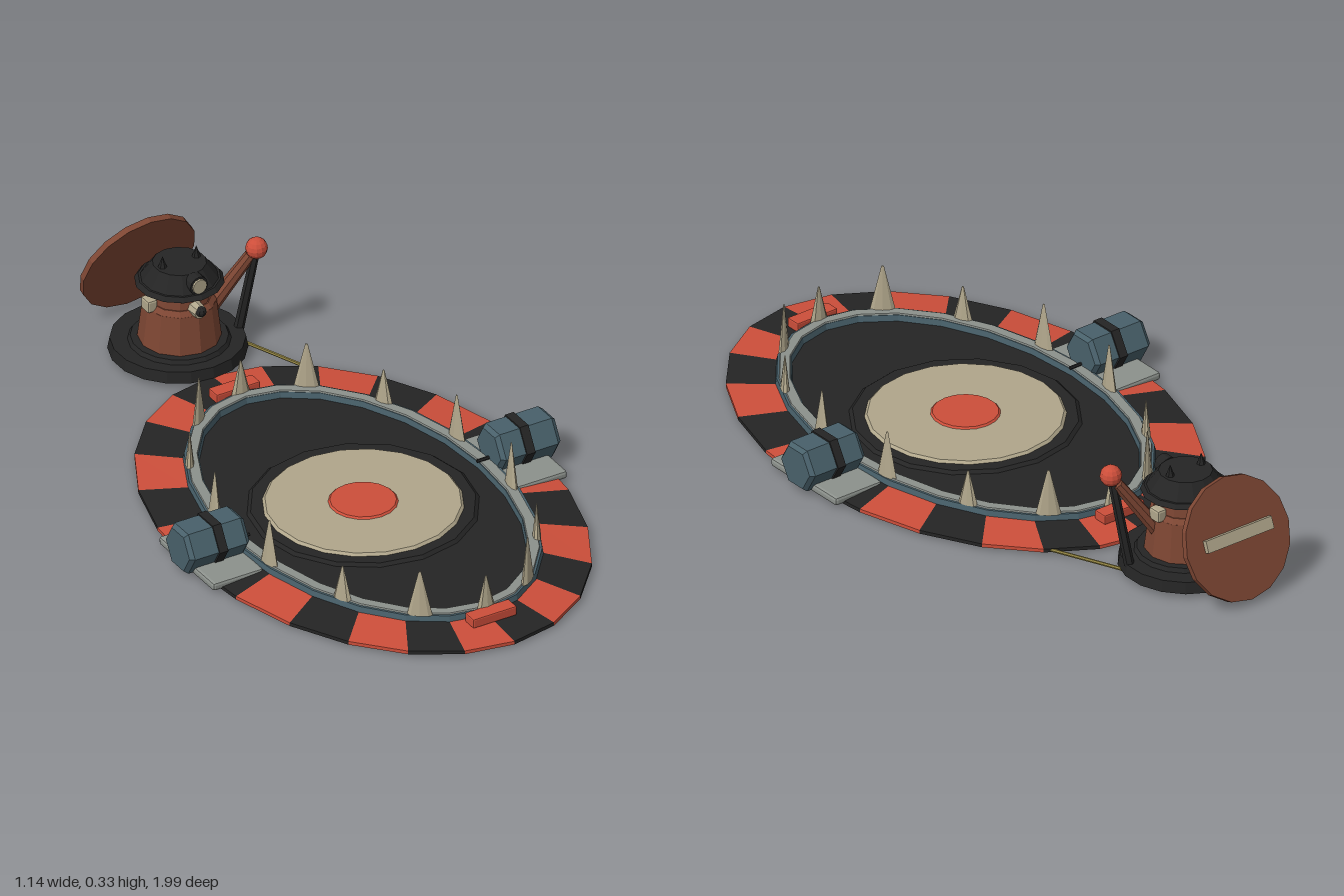
import * as THREE from 'three';
import { RoundedBoxGeometry } from 'three/addons/geometries/RoundedBoxGeometry.js';

const CZ = 0.22; // centre of the oval trap along z

const mat = (name, color) => {
  const m = new THREE.MeshStandardMaterial({ color, flatShading: true });
  m.name = name;
  return m;
};

// Oval band swept from a profile of [radiusX, radiusZ, y] points, listed outer-bottom first
function ovalBand(profile, segments, striped) {
  const pos = [];
  const geo = new THREE.BufferGeometry();
  const n = profile.length;
  const point = (s, i) => {
    const a = (s / segments) * Math.PI * 2;
    const [rx, rz, y] = profile[i % n];
    return [rx * Math.sin(a), y, rz * Math.cos(a)];
  };
  for (let s = 0; s < segments; s++) {
    for (let i = 0; i < n; i++) {
      const a = point(s, i), b = point(s + 1, i), c = point(s + 1, i + 1), d = point(s, i + 1);
      pos.push(...a, ...b, ...c, ...a, ...c, ...d);
    }
    if (striped) geo.addGroup(s * n * 6, n * 6, s % 2);
  }
  geo.setAttribute('position', new THREE.Float32BufferAttribute(pos, 3));
  geo.computeVertexNormals();
  return geo;
}

export function createModel() {
  const root = new THREE.Group();
  const red = mat('warning red', 0xcc4e3a);
  const black = mat('charcoal', 0x242424);
  const grey = mat('steel grey', 0x8c918c);
  const teal = mat('blue steel', 0x48606a);
  const bone = mat('bone', 0xb0a68b);
  const brown = mat('rust brown', 0x7d4633);
  const brass = mat('brass', 0x8e8040);

  const add = (name, geo, material, x = 0, y = 0, z = 0, parent = root) => {
    const m = new THREE.Mesh(geo, material);
    m.name = name;
    m.position.set(x, y, z);
    parent.add(m);
    return m;
  };
  const cyl = (rt, rb, h, n) => new THREE.CylinderGeometry(rt, rb, h, n);
  // Round bar between two points
  const bar = (name, from, to, r0, r1, material, parent, sides = 6) => {
    const a = new THREE.Vector3(...from), b = new THREE.Vector3(...to);
    const dir = b.clone().sub(a);
    const m = add(name, cyl(r1, r0, dir.length(), sides), material, 0, 0, 0, parent);
    m.position.copy(a).addScaledVector(dir, 0.5);
    m.quaternion.setFromUnitVectors(new THREE.Vector3(0, 1, 0), dir.normalize());
    return m;
  };

  // Oval trap
  const trap = new THREE.Group();
  trap.name = 'trap';
  trap.position.z = CZ;
  root.add(trap);
  add('stripedRing', ovalBand([[0.53, 0.77, 0.006], [0.53, 0.77, 0.016], [0.4, 0.63, 0.026], [0.4, 0.63, 0.008]], 24, true),
    [black, red], 0, 0, 0, trap);
  add('floor', cyl(1, 1, 0.018, 24).scale(0.405, 1, 0.635), black, 0, 0.016, 0, trap);
  add('jawRim', ovalBand([[0.402, 0.635, 0.022], [0.398, 0.631, 0.042], [0.358, 0.594, 0.042], [0.355, 0.59, 0.022]], 24),
    teal, 0, 0, 0, trap);
  add('jawRimTop', ovalBand([[0.392, 0.625, 0.041], [0.39, 0.623, 0.046], [0.362, 0.597, 0.046], [0.36, 0.595, 0.041]], 24),
    grey, 0, 0, 0, trap);

  // Pressure plate
  add('plateBase', cyl(0.3, 0.312, 0.01, 16), black, 0, 0.028, 0, trap);
  add('plate', cyl(0.26, 0.268, 0.008, 20), bone, 0, 0.036, 0, trap);
  add('plateButton', cyl(0.088, 0.094, 0.006, 18), red, 0, 0.042, 0, trap);

  // Flattened teeth around the rim, alternating tall and short
  const tall = [0, 1, 0, 1, 1, 0, 1, 0];
  for (let k = 0; k < 14; k++) {
    const a = (k / 14) * Math.PI * 2;
    const h = tall[Math.min(k, 14 - k)] ? 0.132 : 0.1;
    const w = h > 0.11 ? 0.034 : 0.028;
    const x = 0.382 * Math.sin(a), z = 0.624 * Math.cos(a);
    const tooth = add('tooth', cyl(0.1, 1, h, 8).scale(w, 1, 0.012), bone, x, 0.042 + h / 2, z, trap);
    tooth.rotation.y = Math.atan2(Math.sin(a) / 0.382, Math.cos(a) / 0.624);
  }

  // Red latches at both ends
  for (const z of [0.65, -0.655])
    add('latch', new RoundedBoxGeometry(0.134, 0.028, 0.044, 1, 0.004), red, 0, 0.037, z, trap);

  // Spring housings on pads, both sides
  for (const s of [1, -1]) {
    add('springPad', new RoundedBoxGeometry(0.155, 0.024, 0.28, 1, 0.008), grey, s * 0.468, 0.02, 0, trap);
    const spring = new THREE.Group();
    spring.name = 'spring';
    spring.position.set(s * 0.479, 0.074, 0);
    spring.rotation.z = Math.PI / 2;
    trap.add(spring);
    const body = [[0, -0.092], [0.06, -0.092], [0.07, -0.08], [0.07, 0.08], [0.06, 0.092], [0, 0.092]]
      .map(([r, y]) => new THREE.Vector2(r, y));
    add('springBody', new THREE.LatheGeometry(body, 6), teal, 0, 0, 0, spring);
    add('springBand', cyl(0.075, 0.075, 0.026, 6), black, 0, s * 0.006, 0, spring);
    bar('springPin', [s * 0.35, 0.05, 0], [s * 0.4, 0.05, 0], 0.005, 0.005, black, trap);
  }

  // Trip wire from the stand to the left pad
  bar('tripWire', [0.13, 0.014, -0.74], [0.47, 0.005, 0.1], 0.005, 0.005, brass, root);

  // Watchman on a round stand
  const keeper = new THREE.Group();
  keeper.name = 'keeper';
  keeper.position.z = -0.715;
  root.add(keeper);
  add('stand', cyl(0.18, 0.186, 0.032, 18), black, 0, 0.031, -0.008, keeper);
  add('standStep', cyl(0.13, 0.138, 0.012, 18), black, 0, 0.052, 0, keeper);
  add('body', cyl(0.098, 0.112, 0.115, 12), brown, 0, 0.11, 0, keeper);
  add('collar', cyl(0.086, 0.098, 0.014, 12), brown, 0, 0.174, 0, keeper);
  add('head', cyl(0.078, 0.084, 0.07, 12), brown, 0, 0.205, 0, keeper);
  for (const s of [1, -1]) {
    add('eye', new THREE.BoxGeometry(0.018, 0.01, 0.008), black, s * 0.031, 0.212, 0.074, keeper);
    add('ear', new RoundedBoxGeometry(0.03, 0.036, 0.04, 1, 0.006), bone, s * 0.093, 0.183, 0, keeper);
    add('hatHorn', new THREE.ConeGeometry(0.018, 0.05, 6), black, s * 0.052, 0.292, 0, keeper);
  }
  const snout = add('snout', cyl(0.018, 0.022, 0.04, 8), bone, 0, 0.183, 0.09, keeper);
  snout.rotation.x = Math.PI / 2;
  add('nose', new THREE.SphereGeometry(0.015, 8, 6), black, 0, 0.187, 0.11, keeper);

  // Hat with lamp
  add('hatBrim', cyl(0.11, 0.12, 0.012, 14), black, 0, 0.234, 0, keeper);
  add('hatCrown', cyl(0.072, 0.104, 0.044, 14), black, 0, 0.262, 0, keeper);
  const lampRim = add('lampRim', cyl(0.027, 0.027, 0.03, 12), black, 0, 0.261, 0.085, keeper);
  const lamp = add('lamp', cyl(0.021, 0.021, 0.008, 12), bone, 0, 0.261, 0.102, keeper);
  lampRim.rotation.x = lamp.rotation.x = Math.PI / 2;

  // Arm holding the lever
  bar('arm', [0.08, 0.125, 0.02], [0.182, 0.278, 0.06], 0.022, 0.016, brown, keeper, 8);
  bar('lever', [0.165, 0.04, 0.03], [0.193, 0.295, 0.07], 0.014, 0.012, black, keeper);
  add('leverKnob', new THREE.SphereGeometry(0.03, 12, 8), red, 0.194, 0.302, 0.072, keeper);

  // Leaning shield behind
  const shield = new THREE.Group();
  shield.name = 'shield';
  shield.position.set(0, 0.172, -0.929);
  shield.rotation.x = -1.206;
  root.add(shield);
  add('shieldDisc', cyl(0.17, 0.17, 0.018, 16), brown, 0, 0, 0, shield);
  add('shieldBar', new THREE.BoxGeometry(0.22, 0.016, 0.034), bone, 0, 0.015, 0.01, shield);

  return root;
}
